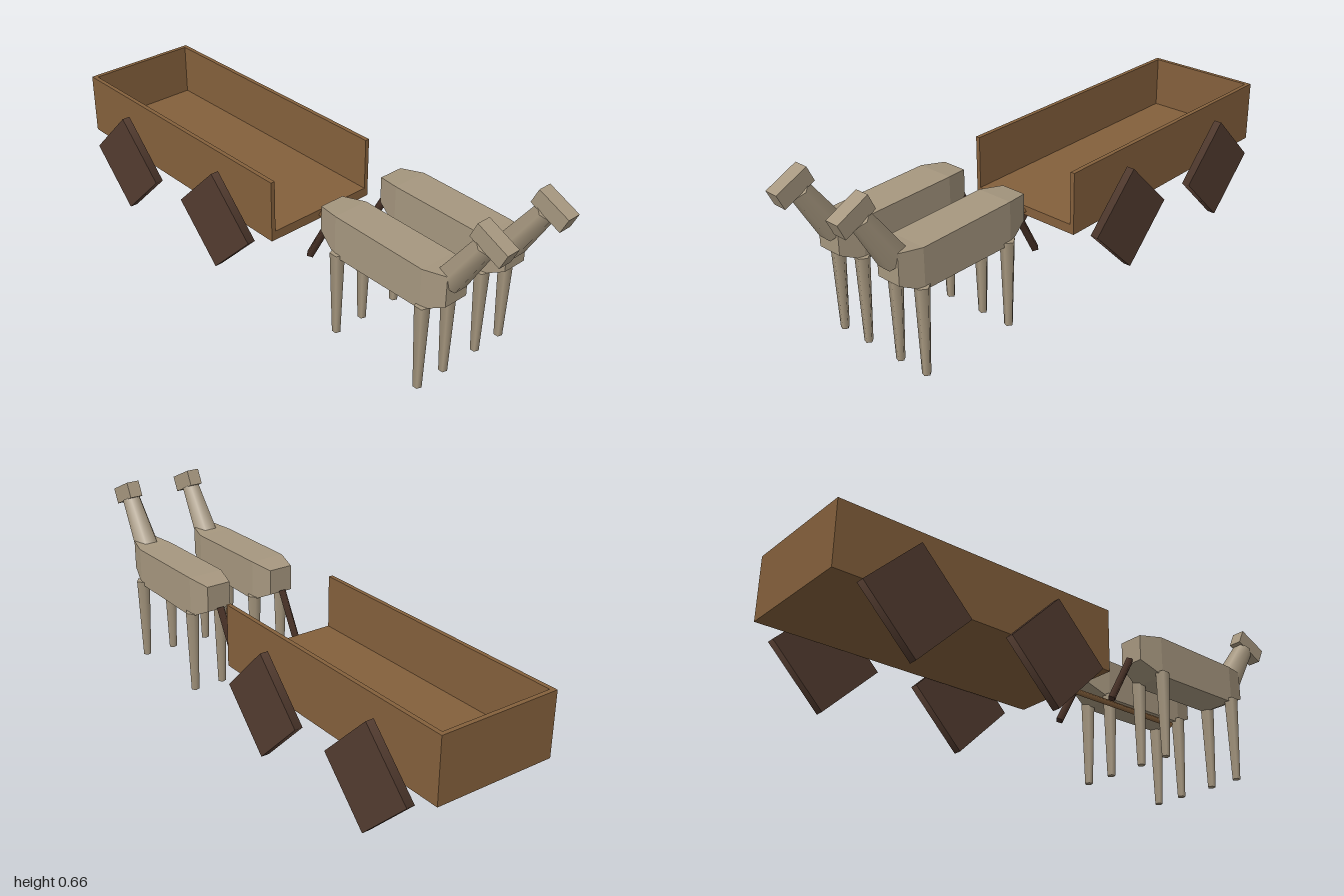
import * as THREE from 'three';

export function createModel() {
  const make = (name, color) => {
    const m = new THREE.MeshStandardMaterial({ color });
    m.name = name;
    return m;
  };
  const hide = make('grey tan hide', 0xa6977f);
  const wood = make('brown wood', 0x84603c);
  const darkWood = make('dark wood', 0x533c30);
  const tailHair = make('dark tail hair', 0x4a3328);

  const add = (parent, name, geometry, material, x = 0, y = 0, z = 0) => {
    const mesh = new THREE.Mesh(geometry, material);
    mesh.name = name;
    mesh.position.set(x, y, z);
    parent.add(mesh);
    return mesh;
  };

  // Tapered rod between two points of the x = 0 plane, given as [y, z]
  const rod = (parent, name, material, top, bottom, rTop, rBottom, sides, start = 0) => {
    const a = new THREE.Vector3(0, ...top);
    const b = new THREE.Vector3(0, ...bottom);
    const dir = a.clone().sub(b);
    const geometry = new THREE.CylinderGeometry(rTop, rBottom, dir.length(), sides, 1, false, start);
    const mesh = add(parent, name, geometry, material);
    mesh.position.copy(a.add(b).multiplyScalar(0.5));
    mesh.quaternion.setFromUnitVectors(new THREE.Vector3(0, 1, 0), dir.normalize());
    return mesh;
  };

  // Body: box whose four cross-sections follow [z, half width, bottom, top]
  const sections = [
    [0.272, 0.046, 0.345, 0.44],
    [0.36, 0.067, 0.3, 0.452],
    [0.73, 0.067, 0.302, 0.446],
    [0.812, 0.046, 0.342, 0.452],
  ];
  const bodyGeometry = () => {
    const g = new THREE.BoxGeometry(1, 1, 1, 1, 1, 3).toNonIndexed();
    const p = g.attributes.position;
    for (let i = 0; i < p.count; i++) {
      const [z, w, low, high] = sections[Math.round((p.getZ(i) + 0.5) * 3)];
      p.setXYZ(i, Math.sign(p.getX(i)) * w, p.getY(i) > 0 ? high : low, z);
    }
    g.computeVertexNormals();
    return g;
  };

  const createHorse = (x) => {
    const horse = new THREE.Group();
    horse.name = 'horse';
    horse.position.x = x;
    add(horse, 'body', bodyGeometry(), hide);
    rod(horse, 'neck', hide, [0.59, 0.905], [0.415, 0.79], 0.037, 0.05, 6, Math.PI / 2);
    add(horse, 'head', new THREE.BoxGeometry(0.05, 0.06, 0.125), hide, 0, 0.61, 0.93)
      .rotation.x = 0.44;
    for (const z of [0.365, 0.735]) {
      for (const side of [-1, 1]) {
        const leg = new THREE.CylinderGeometry(0.026, 0.015, 0.315, 5, 1, false, Math.PI / 2);
        add(horse, z > 0.5 ? 'frontLeg' : 'hindLeg', leg, hide, side * 0.059, 0.1575, z);
      }
    }
    rod(horse, 'tail', tailHair, [0.355, 0.263], [0.18, 0.168], 0.015, 0.015, 4);
    return horse;
  };

  // Cart: floor, two sides and a back board, open at the front
  const cart = new THREE.Group();
  cart.name = 'cart';
  const length = 1.075, midZ = -0.4625, wall = 0.016;
  add(cart, 'floor', new THREE.BoxGeometry(0.45, 0.035, length), wood, 0, 0.2425, midZ);
  for (const side of [-1, 1]) {
    add(cart, 'sideBoard', new THREE.BoxGeometry(wall, 0.23, length), wood,
      side * (0.225 - wall / 2), 0.34, midZ);
  }
  add(cart, 'backBoard', new THREE.BoxGeometry(0.45, 0.23, wall), wood, 0, 0.34, -1 + wall / 2);
  rod(cart, 'drawPole', wood, [0.24, 0.612], [0.24, 0.06], 0.012, 0.012, 4);

  // Four-sided wheels standing on their corners
  for (const z of [-0.192, -0.732]) {
    for (const side of [-1, 1]) {
      const wheel = new THREE.CylinderGeometry(0.193, 0.193, 0.03, 4);
      add(cart, 'wheel', wheel, darkWood, side * 0.255, 0.197, z).rotation.z = Math.PI / 2;
    }
  }

  const model = new THREE.Group();
  model.name = 'horseCart';
  model.add(cart, createHorse(-0.135), createHorse(0.135));
  return model;
}
